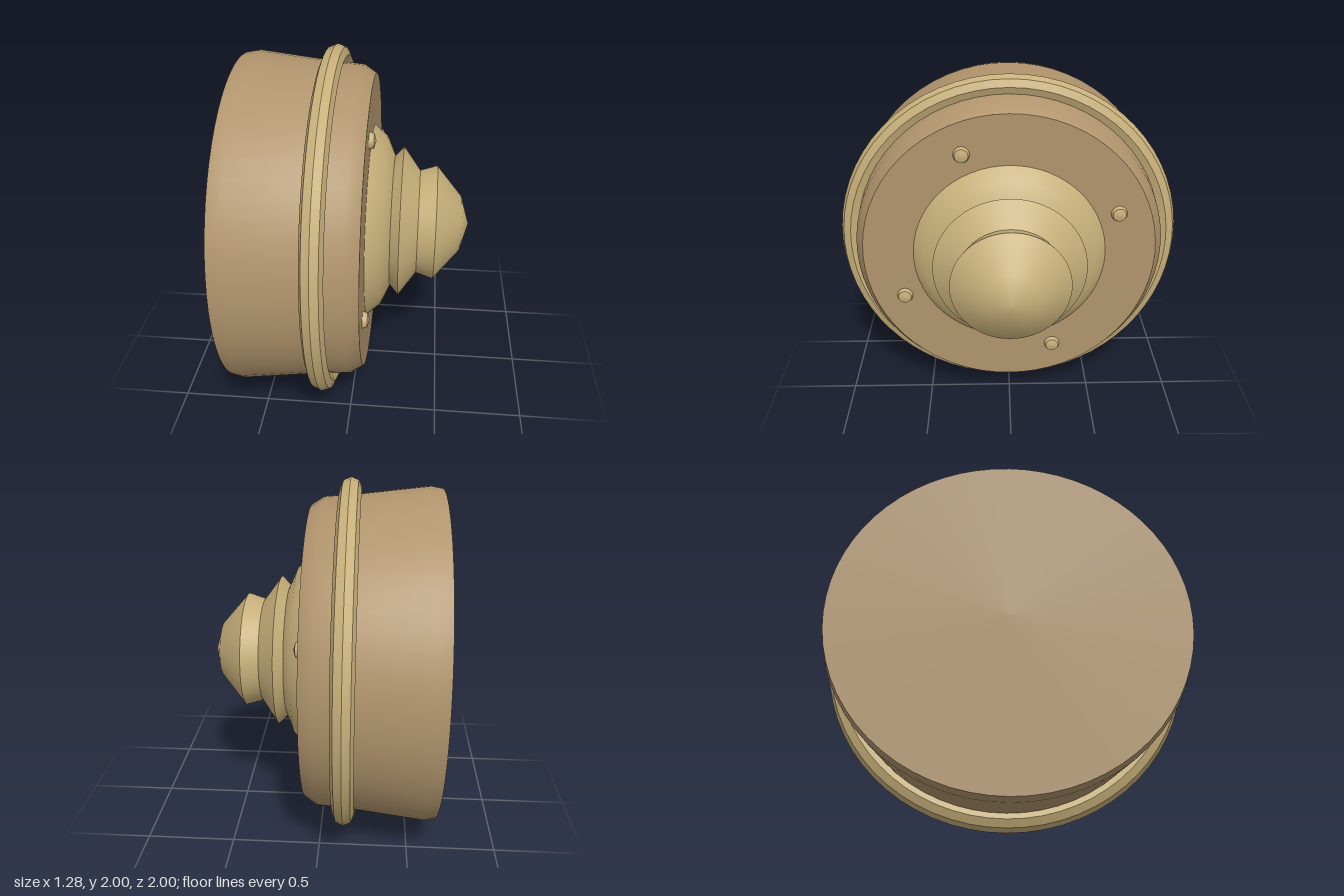
import * as THREE from 'three';
import { toCreasedNormals } from 'three/addons/utils/BufferGeometryUtils.js';

const bodyMaterial = new THREE.MeshStandardMaterial({ color: 0xb0946c });
const trimMaterial = new THREE.MeshStandardMaterial({ color: 0xc8b07a });

// Turned part lying along the x axis; profile is a list of [x, radius]
function turned(name, profile, material, segments = 64) {
  const points = profile.map(([x, r]) => new THREE.Vector2(r, x));
  const lathe = new THREE.LatheGeometry(points, segments).rotateZ(-Math.PI / 2);
  const mesh = new THREE.Mesh(toCreasedNormals(lathe, Math.PI / 6), material);
  mesh.name = name;
  return mesh;
}

export function createModel() {
  const model = new THREE.Group();
  model.name = 'drumWithPointedHub';
  const drum = new THREE.Group();
  drum.name = 'drumAssembly';
  drum.position.y = 1;
  model.add(drum);

  // Closed drum, slightly tapered, with a chamfered front edge
  drum.add(turned('drumBody', [
    [-0.645, 0], [-0.645, 0.942], [-0.58, 0.954], [-0.2, 0.909],
    [0.01, 0.891], [0.08, 0.845], [0.08, 0],
  ], bodyMaterial));

  // Eight-sided band around the drum
  const band = [];
  for (let i = 0; i <= 8; i++) {
    const a = -Math.PI + (i * Math.PI) / 4;
    band.push([-0.14 + 0.06 * Math.sin(a), 0.94 + 0.06 * Math.cos(a)]);
  }
  drum.add(turned('rimBand', band, trimMaterial));

  // Stepped hub ending in a point
  drum.add(turned('hub', [
    [0.08, 0], [0.08, 0.555], [0.155, 0.49], [0.203, 0.38], [0.253, 0.434],
    [0.35, 0.3], [0.447, 0.33], [0.593, 0.158], [0.64, 0],
  ], trimMaterial));

  // Four bolts spaced evenly around the face
  for (let i = 0; i < 4; i++) {
    const bolt = turned('bolt' + (i + 1), [
      [0.07, 0], [0.07, 0.046], [0.085, 0.046], [0.106, 0.038], [0.117, 0],
    ], trimMaterial, 16);
    const a = 1.172 + (i * Math.PI) / 2;
    bolt.position.set(0, 0.672 * Math.sin(a), 0.672 * Math.cos(a));
    drum.add(bolt);
  }
  return model;
}
